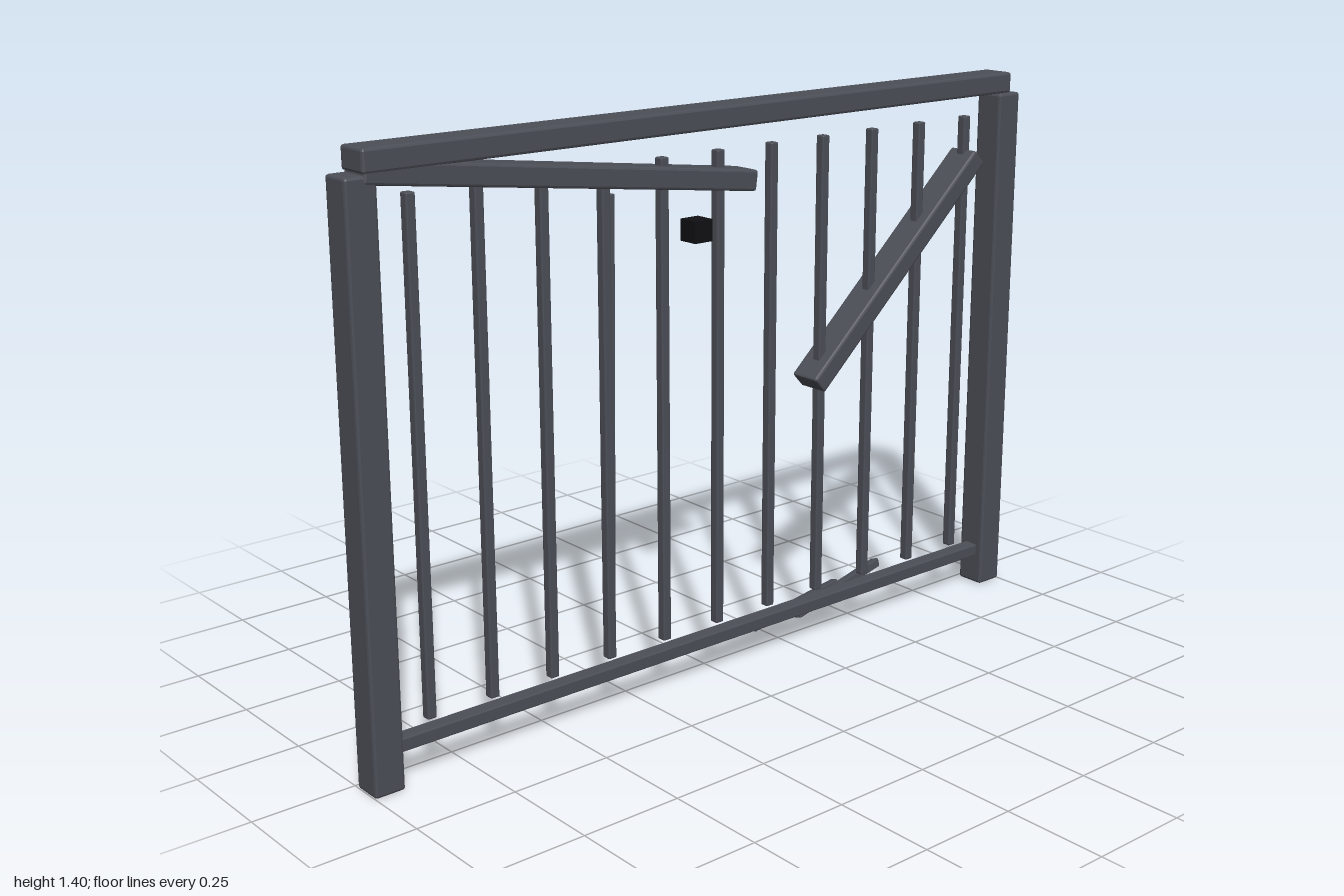
import * as THREE from 'three';
import { RoundedBoxGeometry } from 'three/addons/geometries/RoundedBoxGeometry.js';

const iron = new THREE.MeshStandardMaterial({ color: 0x4c4f57, flatShading: true });
const dark = new THREE.MeshStandardMaterial({ color: 0x111113, flatShading: true });
const Z = 0.05; // plane of the fence

export function createModel() {
  const fence = new THREE.Group();
  fence.name = 'brokenFence';

  // Bevelled beam between two points; w is its thickness, d its depth along z
  function beam(name, from, to, w, d, bevel = 0.003) {
    const a = new THREE.Vector3(...from), b = new THREE.Vector3(...to);
    const dir = b.clone().sub(a);
    const mesh = new THREE.Mesh(new RoundedBoxGeometry(w, dir.length(), d, 1, bevel), iron);
    mesh.name = name;
    mesh.position.copy(a).add(b).multiplyScalar(0.5);
    mesh.quaternion.setFromUnitVectors(new THREE.Vector3(0, 1, 0), dir.normalize());
    fence.add(mesh);
  }

  // Frame
  for (const s of [-1, 1]) {
    beam(s > 0 ? 'leftPost' : 'rightPost', [s * 0.9625, 0, Z], [s * 0.9625, 1.35, Z], 0.075, 0.076, 0.006);
  }
  beam('topRail', [-0.96, 1.379, Z], [0.96, 1.379, Z], 0.052, 0.085, 0.006);
  beam('bottomRail', [-0.93, 0.095, Z], [0.93, 0.095, Z], 0.032, 0.038);

  // Upright bars
  for (let i = -5; i <= 5; i++) {
    beam('bar', [i / 6, 0.13, Z], [i / 6, 1.3, Z], 0.023, 0.023);
  }

  // Bars leaning backwards
  for (const x of [-1 / 3, 1 / 3]) {
    beam('leaningBar', [x, 0.13, Z], [x + 0.063, 1.22, -0.013], 0.021, 0.021);
  }

  // Broken rails
  beam('saggingRail', [-0.955, 1.356, Z], [0.088, 1.222, Z], 0.05, 0.08, 0.006);
  beam('brokenRail', [0.298, 0.685, Z], [0.853, 1.197, Z], 0.05, 0.085, 0.006);

  // Bars fallen behind the fence
  const fallen = [[-0.03, 0.064, 0.347, 0.028], [0.15, 0.06, 0.53, 0.054], [0.305, 0.055, 0.685, 0.076]];
  for (const [x0, y0, x1, y1] of fallen) {
    beam('fallenBar', [x0, y0, 0.012], [x1, y1, -0.08], 0.023, 0.023);
  }

  // Small loose block
  const block = new THREE.Mesh(new THREE.BoxGeometry(0.052, 0.052, 0.052), dark);
  block.name = 'looseBlock';
  block.position.set(-0.065, 1.12, Z);
  fence.add(block);

  return fence;
}
